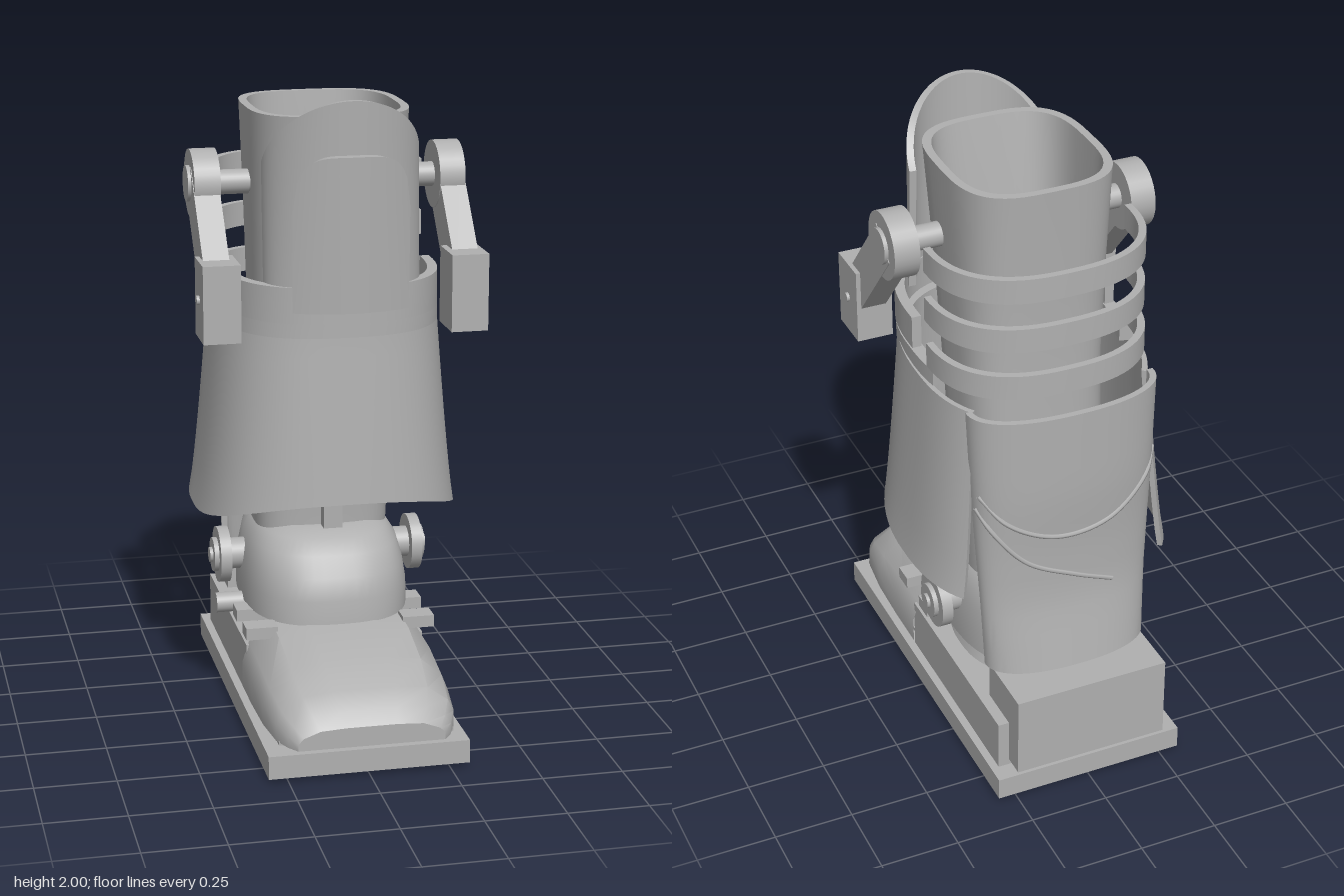
import * as THREE from 'three';
import { toCreasedNormals } from 'three/addons/utils/BufferGeometryUtils.js';

const metal = new THREE.MeshStandardMaterial({ color: 0xb0b0b0, side: THREE.DoubleSide });
metal.name = 'grey metal';

const RAD = Math.PI / 180;
const { lerp } = THREE.MathUtils;

// Point on a rounded-square outline; angle 0 faces the front, 90 the +x side
function outline(deg, rx, rz, zc, n) {
  const pw = (c) => Math.sign(c) * Math.abs(c) ** (2 / n);
  return [rx * pw(Math.sin(deg * RAD)), zc + rz * pw(Math.cos(deg * RAD))];
}

// Interpolate rows [key, a, b, ...] at a key
function sample(rows, key) {
  let i = 0;
  while (i < rows.length - 2 && key > rows[i + 1][0]) i++;
  const t = (key - rows[i][0]) / (rows[i + 1][0] - rows[i][0]);
  return rows[i].map((a, k) => lerp(a, rows[i + 1][k], t));
}

// Curved sheet from fn(u, v, t); with thick, t = 1 gives the inner face and rims are added
function sheet(fn, nu, nv, thick = true, closed = false) {
  const pos = [];
  const quad = (a, b, c, d) => pos.push(...a, ...b, ...c, ...a, ...c, ...d);
  const P = (i, j, t) => fn(i / nu, j / nv, t);
  for (let i = 0; i < nu; i++) {
    for (let j = 0; j < nv; j++) {
      quad(P(i, j, 0), P(i + 1, j, 0), P(i + 1, j + 1, 0), P(i, j + 1, 0));
      if (thick) quad(P(i + 1, j, 1), P(i, j, 1), P(i, j + 1, 1), P(i + 1, j + 1, 1));
    }
    if (!thick) continue;
    quad(P(i, nv, 0), P(i + 1, nv, 0), P(i + 1, nv, 1), P(i, nv, 1));
    quad(P(i, 0, 1), P(i + 1, 0, 1), P(i + 1, 0, 0), P(i, 0, 0));
  }
  if (thick && !closed) for (let j = 0; j < nv; j++) {
    quad(P(0, j, 1), P(0, j, 0), P(0, j + 1, 0), P(0, j + 1, 1));
    quad(P(nu, j, 0), P(nu, j, 1), P(nu, j + 1, 1), P(nu, j + 1, 0));
  }
  const g = new THREE.BufferGeometry();
  g.setAttribute('position', new THREE.Float32BufferAttribute(pos, 3));
  return toCreasedNormals(g, 0.6);
}

// Upright loft from rows [y, half width, front z, back z]
function loft(rows, n, thick = 0) {
  return sheet((u, v, t) => {
    const f = v * (rows.length - 1), i = Math.min(Math.floor(f), rows.length - 2);
    const [y, rx, zf, zb] = rows[i].map((a, k) => lerp(a, rows[i + 1][k], f - i));
    const [x, z] = outline(u * 360, rx - t * thick, (zf - zb) / 2 - t * thick, (zf + zb) / 2, n);
    return [x, y, z];
  }, 56, rows.length - 1, thick > 0, true);
}

// Wrapped band of constant section between two angles
function band(a0, a1, y0, y1, rx, rz, zc, n, thick) {
  return sheet((u, v, t) => {
    const [x, z] = outline(lerp(a0, a1, u), rx - t * thick, rz - t * thick, zc, n);
    return [x, lerp(y0, y1, v), z];
  }, 40, 1);
}

export function createModel() {
  const model = new THREE.Group();
  const add = (name, geometry) => {
    const mesh = new THREE.Mesh(geometry, metal);
    mesh.name = name;
    model.add(mesh);
    return mesh;
  };
  const box = (name, x0, x1, y0, y1, z0, z1) =>
    add(name, new THREE.BoxGeometry(x1 - x0, y1 - y0, z1 - z0))
      .position.set((x0 + x1) / 2, (y0 + y1) / 2, (z0 + z1) / 2);
  const rod = (name, x0, x1, y, z, r) => {
    const m = add(name, new THREE.CylinderGeometry(r, r, Math.abs(x1 - x0), 32));
    m.rotation.z = Math.PI / 2;
    m.position.set((x0 + x1) / 2, y, z);
  };

  // Foot: sole, swivel disc, body and heel
  box('sole', -0.31, 0.31, 0.012, 0.085, -0.63, 0.615);
  add('swivelDisc', new THREE.CylinderGeometry(0.1, 0.1, 0.014, 32)).position.set(0, 0.007, -0.065);
  box('footBody', -0.285, 0.285, 0.085, 0.25, -0.57, 0.115);
  box('heelBlock', -0.25, 0.25, 0.105, 0.375, -0.64, -0.42);

  // Toe: bevelled sections [z, half width, top] running forward, closed at the tip
  const toe = [[0.1, 0.295, 0.345], [0.25, 0.295, 0.335], [0.42, 0.29, 0.295],
    [0.55, 0.275, 0.25], [0.61, 0.25, 0.21], [0.645, 0.225, 0.17]];
  const section = [[1, 0], [1, 0.35], [0.93, 0.62], [0.7, 0.93], [0.35, 1], [0, 1],
    [-0.35, 1], [-0.7, 0.93], [-0.93, 0.62], [-1, 0.35], [-1, 0]];
  add('toe', sheet((u, v) => {
    const i = Math.round(v * 6), [z, w, top] = toe[Math.min(i, 5)];
    const [sx, sy] = section[Math.round(u * 10)];
    return i === 6 ? [0, 0.108, z] : [sx * w, 0.108 + sy * (top - 0.108), z];
  }, 10, 6, false));
  box('toeFloor', -0.27, 0.27, 0.1, 0.112, 0.1, 0.57);

  // Ankle: base, rounded cover, tabs and pivots
  add('ankleBase', loft([[0.25, 0.23, 0.1, -0.38], [0.34, 0.2, 0.06, -0.35]], 2.4));
  add('ankleCover', loft([[0.335, 0.26, 0.22, -0.45], [0.41, 0.26, 0.215, -0.45], [0.48, 0.25, 0.2, -0.45],
    [0.54, 0.235, 0.155, -0.44], [0.58, 0.21, 0.1, -0.42], [0.603, 0.18, 0.04, -0.38]], 2.7, 0.02));
  rod('anklePin', -0.345, -0.22, 0.32, -0.1, 0.032);
  for (const s of [-1, 1]) {
    for (const z of [0.17, 0])
      box('ankleTab', s * 0.25 - 0.05, s * 0.25 + 0.05, 0.3, 0.338, z - 0.035, z + 0.035);
    rod('ankleAxle', s * 0.2, s * 0.31, 0.465, -0.155, 0.05);
    rod('ankleDisc', s * 0.295, s * 0.33, 0.465, -0.155, 0.09);
    rod('ankleBoss', s * 0.32, s * 0.345, 0.465, -0.155, 0.055);
    rod('ankleBolt', s * 0.34, s * 0.355, 0.465, -0.155, 0.024);
  }

  // Inner leg sleeve, open at the top
  add('legSleeve', loft([[0.55, 0.21, 0.02, -0.32], [0.8, 0.22, 0.03, -0.32], [1.3, 0.225, 0.11, -0.3],
    [1.63, 0.235, 0.155, -0.315], [1.93, 0.247, 0.207, -0.335]], 3.2, 0.025));
  box('shinPost', -0.03, 0.03, 0.61, 0.78, 0.045, 0.09);

  // Shin guard: flared wrap with an arched lower edge
  add('shinGuard', sheet((u, v, t) => {
    const a = lerp(-130, 130, u), f = Math.max(0, Math.cos(a * RAD));
    const y = lerp(0.655 + 0.105 * f ** 1.4, 1.285 + 0.045 * f, v);
    const k = Math.min(1, (y - 0.65) / 0.65), k2 = k ** 0.75;
    const [x, z] = outline(a, lerp(0.412, 0.345, k2) - t * 0.015, lerp(0.44, 0.39, k) - t * 0.015,
      lerp(-0.11, -0.1, k), 2.7);
    return [x, y, z];
  }, 56, 10));

  // Calf guard rows [y, half width, back z, edge z]
  const calf = [[0.38, 0.265, -0.54, -0.42], [0.5, 0.27, -0.52, -0.415], [0.62, 0.275, -0.5, -0.41],
    [0.8, 0.285, -0.502, -0.4], [1.0, 0.295, -0.518, -0.39], [1.29, 0.305, -0.522, -0.38]];
  const calfPoint = (a, y, inset) => {
    const [, w, zb, ze] = sample(calf, y);
    const [x, z] = outline(a, w - inset, ze - zb - inset, ze, 2.3);
    return [x, y, z];
  };
  add('calfGuard', sheet((u, v, t) => calfPoint(lerp(90, 270, u), lerp(0.38, 1.29, v), t * 0.02), 40, 14));
  // Raised seams across the calf
  for (const path of [[[255, 1.02], [225, 0.93], [190, 0.86], [160, 0.88], [125, 0.98], [100, 1.04]],
    [[262, 0.97], [240, 0.9], [210, 0.78], [180, 0.7], [155, 0.64]]]) {
    const curve = new THREE.CatmullRomCurve3(path.map(([a, y]) => new THREE.Vector3(...calfPoint(360 - a, y, 0))));
    add('calfSeam', new THREE.TubeGeometry(curve, 40, 0.008, 6));
  }

  // Collar above the shin guard and rear bands
  add('collar', band(-90, 90, 1.33, 1.44, 0.335, 0.385, -0.05, 2.6, 0.03));
  add('lowerCollar', band(-106, 106, 1.28, 1.335, 0.34, 0.37, -0.06, 2.6, 0.04));
  for (const [y, z] of [[1.335, -0.16], [1.487, -0.15], [1.65, -0.15]])
    add('rearBand', band(90, 270, y, y + 0.078, 0.335, 0.303, z, 2.5, 0.022));

  // Knee plate and its raised front panel
  const kneePoint = (a, y, out) => {
    const k = (y - 1.4) / 0.6, side = lerp(0.2, 0.162, k);
    return [(0.24 + out) * Math.sin(a * RAD), y, side + (lerp(0.345, 0.372, k) - side + out) * Math.cos(a * RAD)];
  };
  add('kneePlate', sheet((u, v, t) => {
    const a = lerp(-88, 88, u);
    return kneePoint(a, lerp(1.39, 1.79 + 0.21 * Math.cos(a * RAD), v), -0.022 * t);
  }, 36, 8));
  add('kneePanel', sheet((u, v, t) => {
    const s = u * 2 - 1, top = 1.68 + 0.16 * Math.sqrt(Math.max(0, 1 - s ** 4));
    return kneePoint(s * 40, lerp(1.37, top, v), lerp(0.035, -0.01, t));
  }, 24, 8));

  // Knee hinge: cross bar, pivot discs, slanted arms and end blocks
  rod('kneeBar', -0.4, 0.4, 1.7, -0.04, 0.032);
  for (const s of [-1, 1]) {
    rod('hingeSleeve', s * 0.24, s * 0.35, 1.7, -0.04, 0.038);
    rod('hingeDisc', s * 0.34, s * 0.42, 1.7, -0.04, 0.105);
    rod('hingeCap', s * 0.41, s * 0.432, 1.7, -0.04, 0.055);
    const arm = add('hingeArm', new THREE.BoxGeometry(0.08, 0.42, 0.13));
    arm.position.set(s * 0.382, 1.555, 0.085);
    arm.rotation.x = -Math.atan2(0.25, 0.29);
    box('hingeBlock', s * 0.379 - 0.057, s * 0.379 + 0.057, 1.275, 1.512, 0.143, 0.29);
    rod('hingeBolt', s * 0.42, s * 0.445, 1.395, 0.216, 0.014);
  }

  return model;
}
